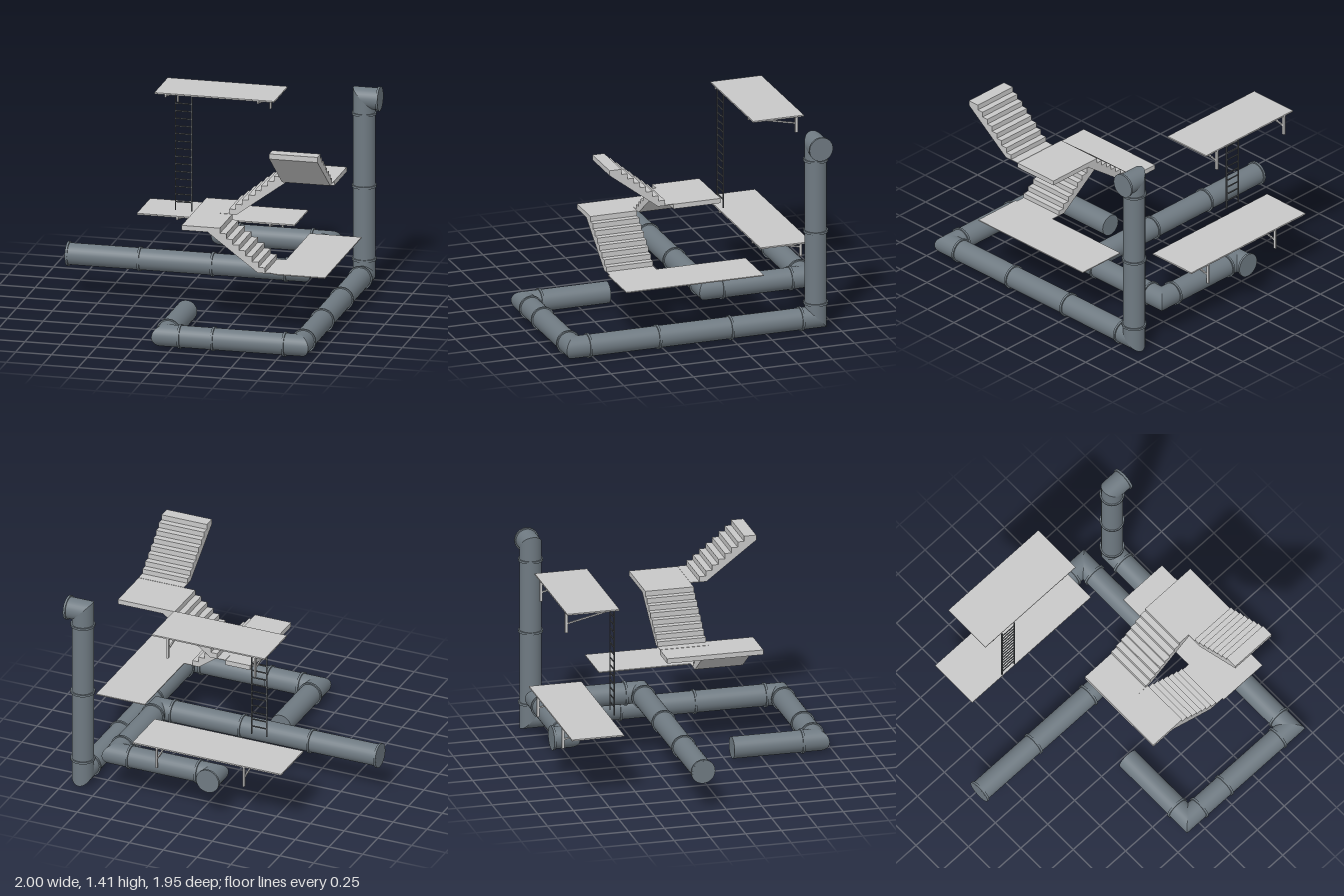
import * as THREE from 'three';

const concrete = new THREE.MeshStandardMaterial({ color: 0xc8c8c8 });
concrete.name = 'lightConcrete';
const pipeGrey = new THREE.MeshStandardMaterial({ color: 0x6f7a82 });
pipeGrey.name = 'pipeSlate';
const ladderGrey = new THREE.MeshStandardMaterial({ color: 0x5c6064 });
ladderGrey.name = 'ladderMetal';

const UP = new THREE.Vector3(0, 1, 0);
const R = 0.075;

function add(parent, name, geometry, material) {
  const mesh = new THREE.Mesh(geometry, material);
  mesh.name = name;
  parent.add(mesh);
  return mesh;
}

// Box given by its minimum and maximum corners
function box(parent, name, material, x0, x1, y0, y1, z0, z1) {
  const mesh = add(parent, name, new THREE.BoxGeometry(x1 - x0, y1 - y0, z1 - z0), material);
  mesh.position.set((x0 + x1) / 2, (y0 + y1) / 2, (z0 + z1) / 2);
  return mesh;
}

// Straight tubes whose ends are slid onto the mitre plane at each corner
function pipeRun(name, coords, flanges) {
  const run = new THREE.Group();
  run.name = name;
  const pts = coords.map((c) => new THREE.Vector3(...c));
  const dirs = pts.slice(1).map((p, i) => p.clone().sub(pts[i]).normalize());
  dirs.forEach((d, i) => {
    const a = pts[i], b = pts[i + 1];
    const g = new THREE.CylinderGeometry(R, R, 1, 32, 1, true);
    const q = new THREE.Quaternion().setFromUnitVectors(UP, d);
    const pos = g.attributes.position;
    const isTop = Array.from({ length: pos.count }, (_, k) => pos.getY(k) > 0);
    g.applyQuaternion(q);
    for (let k = 0; k < pos.count; k++) {
      const r = new THREE.Vector3().fromBufferAttribute(pos, k);
      r.addScaledVector(d, -r.dot(d));
      const other = isTop[k] ? dirs[i + 1] : dirs[i - 1];
      const n = other ? d.clone().add(other).normalize() : d;
      const slide = -r.dot(n) / d.dot(n);
      r.add(isTop[k] ? b : a).addScaledVector(d, slide);
      pos.setXYZ(k, r.x, r.y, r.z);
    }
    add(run, 'pipeSection', g, pipeGrey);
  });
  // End discs
  const last = dirs.length - 1;
  [[pts[0], dirs[0].clone().negate()], [pts[last + 1], dirs[last]]].forEach(([p, d]) => {
    const cap = add(run, 'pipeEnd', new THREE.CircleGeometry(R, 32), pipeGrey);
    cap.quaternion.setFromUnitVectors(new THREE.Vector3(0, 0, 1), d);
    cap.position.copy(p);
  });
  // Flange rings: [segment index, position along that segment's axis]
  flanges.forEach(([i, at]) => {
    const ring = add(run, 'flange', new THREE.CylinderGeometry(0.084, 0.084, 0.015, 32), pipeGrey);
    ring.quaternion.setFromUnitVectors(UP, dirs[i]);
    ring.position.copy(pts[i]);
    const axis = ['x', 'y', 'z'].find((k) => Math.abs(dirs[i][k]) > 0.5);
    ring.position[axis] = at;
  });
  return run;
}

// Eight-step flight climbing along local +x, extruded along local +z
function flight(name, rise, width) {
  const run = 0.0447, first = 0.0625, end = 0.46, h = rise / 8;
  const s = new THREE.Shape();
  s.moveTo(0, -0.002);
  s.lineTo(0.112, -0.002);
  s.lineTo(end, rise - 0.036);
  s.lineTo(end, rise);
  for (let k = 7; k >= 0; k--) {
    s.lineTo(first + run * k, h * (k + 1));
    s.lineTo(first + run * k, k ? h * k : 0.002);
  }
  s.lineTo(0, 0.002);
  const mesh = new THREE.Mesh(new THREE.ExtrudeGeometry(s, { depth: width, bevelEnabled: false }), concrete);
  mesh.name = name;
  return mesh;
}

// Wall bracket: arm, back leg and sloping brace
function bracket(x, y) {
  const g = new THREE.Group();
  g.name = 'wallBracket';
  const w = 0.006;
  box(g, 'bracketArm', concrete, x - w, x + w, y - 0.018, y, -0.972, -0.615);
  box(g, 'bracketLeg', concrete, x - w, x + w, y - 0.15, y, -0.974, -0.955);
  const from = new THREE.Vector3(x, y - 0.018, -0.66), to = new THREE.Vector3(x, y - 0.085, -0.96);
  const brace = add(g, 'bracketBrace', new THREE.BoxGeometry(0.009, 0.01, from.distanceTo(to)), concrete);
  brace.position.copy(from).add(to).multiplyScalar(0.5);
  brace.lookAt(to);
  return g;
}

export function createModel() {
  const model = new THREE.Group();
  model.name = 'pipesAndStairs';

  // Pipe runs
  model.add(pipeRun('lowerPipe', [
    [-0.055, 0.088, 0.297], [-0.055, 0.088, 0.887], [0.888, 0.088, 0.887],
    [0.888, 0.088, -0.853], [0.888, 1.325, -0.853], [0.998, 1.325, -0.853],
  ], [
    [0, 0.784], [1, 0.055], [1, 0.288], [1, 0.783], [2, 0.784], [2, 0.287],
    [2, -0.235], [2, -0.742], [3, 0.195], [3, 0.71], [3, 1.22], [4, 0.992],
  ]));
  model.add(pipeRun('upperPipe', [
    [-1, 0.29, -0.16], [0.635, 0.29, -0.16], [0.635, 0.29, -0.865],
    [-0.088, 0.29, -0.865], [-0.088, 0.29, -0.973],
  ], [
    [0, -0.992], [0, -0.494], [0, 0.015], [0, 0.527], [1, -0.265], [1, -0.76],
    [2, 0.527], [2, 0.02], [3, -0.966],
  ]));

  // Floor and stair landings
  box(model, 'floorSlab', concrete, 0.612, 0.972, 0.46, 0.467, -0.45, 0.537);
  box(model, 'lowerLanding', concrete, -0.03, 0.152, 0.724, 0.758, -0.148, 0.525);
  box(model, 'upperLanding', concrete, 0.612, 0.948, 1.013, 1.047, -0.148, 0.19);

  // Three flights: towards -x, towards +x, towards +z
  const first = flight('firstFlight', 0.293, 0.335);
  first.rotation.y = Math.PI;
  first.position.set(0.612, 0.465, 0.525);
  const second = flight('secondFlight', 0.289, 0.338);
  second.position.set(0.152, 0.758, -0.148);
  const third = flight('thirdFlight', 0.298, 0.336);
  third.rotation.y = -Math.PI / 2;
  third.position.set(0.948, 1.047, 0.19);
  model.add(first, second, third);

  // Back platforms with wall brackets
  box(model, 'lowerPlatform', concrete, -0.635, 0.465, 0.458, 0.468, -0.978, -0.613);
  box(model, 'upperPlatform', concrete, -0.513, 0.322, 1.317, 1.327, -0.978, -0.613);
  [-0.355, 0.29].forEach((x) => model.add(bracket(x, 0.458)));
  [-0.438, 0.207].forEach((x) => model.add(bracket(x, 1.317)));

  // Ladder
  const ladder = new THREE.Group();
  ladder.name = 'ladder';
  [-0.364, -0.25].forEach((x) =>
    box(ladder, 'ladderRail', ladderGrey, x - 0.004, x + 0.004, 0.513, 1.32, -0.612, -0.604));
  for (let i = 0; i < 14; i++) {
    const y = 0.573 + i * 0.0533;
    box(ladder, 'ladderRung', ladderGrey, -0.364, -0.25, y - 0.004, y + 0.004, -0.611, -0.605);
  }
  model.add(ladder);
  return model;
}
